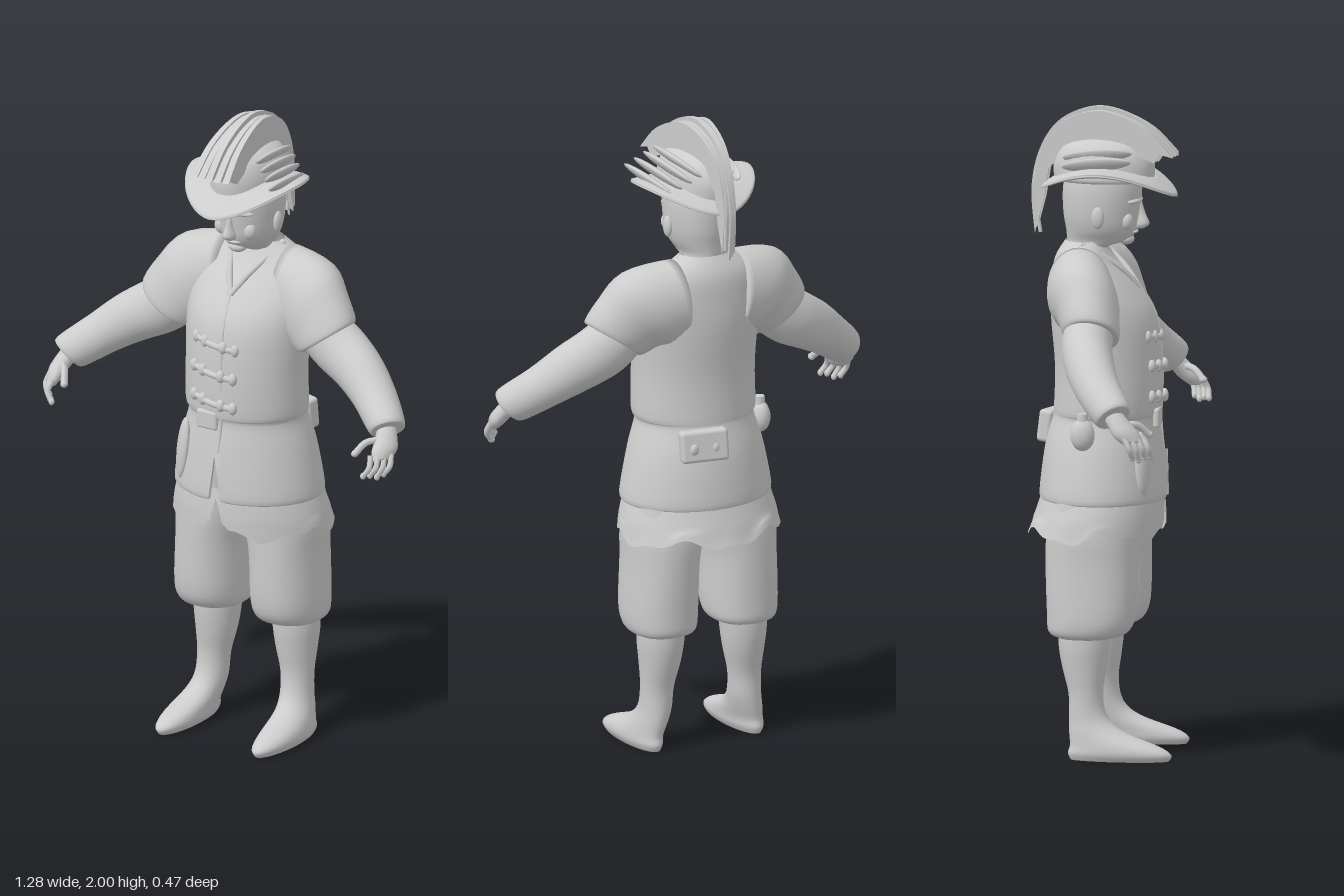
import * as THREE from 'three';
import { RoundedBoxGeometry } from 'three/addons/geometries/RoundedBoxGeometry.js';

const clay = new THREE.MeshStandardMaterial({ color: 0xcccccc, side: THREE.DoubleSide });
clay.name = 'light grey';

function add(parent, name, geometry, pos = [0, 0, 0], rot = [0, 0, 0]) {
  const mesh = new THREE.Mesh(geometry, clay);
  mesh.name = name;
  mesh.position.set(...pos);
  mesh.rotation.set(...rot);
  parent.add(mesh);
  return mesh;
}

// Catmull-Rom blend of neighbouring rings
function blend(rings, k, f) {
  const at = i => rings[Math.min(Math.max(i, 0), rings.length - 1)];
  const [a, b, c, d] = [at(k - 1), at(k), at(k + 1), at(k + 2)];
  return b.map((q, i) => q + 0.5 * f * (c[i] - a[i]
    + f * (2 * a[i] - 5 * q + 4 * c[i] - d[i] + f * (3 * (q - c[i]) + d[i] - a[i]))));
}

// Skin over rings [x, y, z, radiusU, radiusV, tilt, yaw], listed from low to high
function loft(rings, { n = 32, steps = 4, caps = true, power = 1, rule } = {}) {
  const full = rings.map(r => [...r, 0, 0].slice(0, 7));
  const list = [];
  for (let k = 0; k < full.length - 1; k++)
    for (let s = 0; s < steps; s++) list.push(blend(full, k, s / steps));
  list.push(full[full.length - 1]);
  const pos = [], idx = [];
  const pw = v => Math.sign(v) * Math.abs(v) ** power;
  for (const [x, y, z, ru, rv, t, w] of list)
    for (let j = 0; j < n; j++) {
      const a = j / n * Math.PI * 2, u = pw(Math.cos(a)) * ru, v = pw(Math.sin(a)) * rv;
      const p = new THREE.Vector3(
        x + u * Math.cos(t) * Math.cos(w) - v * Math.sin(w),
        y + u * Math.sin(t),
        z + u * Math.cos(t) * Math.sin(w) + v * Math.cos(w));
      if (rule) rule(p, a);
      pos.push(p.x, p.y, p.z);
    }
  for (let i = 0; i < list.length - 1; i++)
    for (let j = 0; j < n; j++) {
      const a = i * n + j, b = i * n + (j + 1) % n;
      idx.push(a, a + n, b, b, a + n, b + n);
    }
  if (caps) for (const i of [0, list.length - 1]) {
    const c = pos.length / 3;
    pos.push(...list[i].slice(0, 3));
    for (let j = 0; j < n; j++) {
      const a = i * n + j, b = i * n + (j + 1) % n;
      idx.push(...(i ? [c, b, a] : [c, a, b]));
    }
  }
  const g = new THREE.BufferGeometry();
  g.setAttribute('position', new THREE.Float32BufferAttribute(pos, 3));
  g.setIndex(idx);
  g.computeVertexNormals();
  return g;
}

function mirrored(g) {
  const m = g.clone().scale(-1, 1, 1), ix = m.index.array;
  for (let i = 0; i < ix.length; i += 3) [ix[i], ix[i + 1]] = [ix[i + 1], ix[i]];
  m.computeVertexNormals();
  return m;
}

function pair(parent, name, g) {
  add(parent, 'left ' + name, g);
  add(parent, 'right ' + name, mirrored(g));
}

const tube = (pts, r) => new THREE.TubeGeometry(
  new THREE.CatmullRomCurve3(pts.map(p => new THREE.Vector3(...p))), 16, r, 8);
const ball = (rx, ry, rz) => new THREE.SphereGeometry(1, 20, 14).scale(rx, ry, rz);

// Five overlapping crescent vanes that fan out toward the front of the hat
function crest(parent) {
  const outer = [[0.23, 1.85], [0.15, 1.935], [0.05, 1.987], [-0.04, 1.995], [-0.14, 1.95], [-0.2, 1.86], [-0.225, 1.74], [-0.215, 1.6]];
  const inner = [[-0.19, 1.7], [-0.175, 1.8], [-0.12, 1.86], [0, 1.88], [0.1, 1.86], [0.17, 1.83], [0.19, 1.86]];
  for (let i = -2; i <= 2; i++) {
    const k = 1 - 0.1 * Math.abs(Math.sin(i * 2));
    const v = ([z, y]) => new THREE.Vector2(z * (1 - 0.02 * Math.abs(i)), 1.86 + (y - 1.86) * k);
    const shape = new THREE.Shape().moveTo(v(outer[0]).x, v(outer[0]).y);
    shape.splineThru(outer.slice(1).map(v));
    inner.forEach(p => shape.lineTo(v(p).x, v(p).y));
    const g = new THREE.ExtrudeGeometry(shape, { depth: 1, bevelEnabled: false, curveSegments: 24 });
    g.rotateY(-Math.PI / 2);
    const p = g.attributes.position;
    for (let j = 0; j < p.count; j++) {
      const half = 0.02 + 0.05 * (p.getZ(j) + 0.23) / 0.46;
      p.setX(j, (i + (p.getX(j) + 0.5) * 0.8) / 2.4 * half);
    }
    g.computeVertexNormals();
    add(parent, 'crest feather', g);
  }
}

export function createModel() {
  const model = new THREE.Group();
  model.name = 'costumed man';

  // Jacket with a notch at the front of the hem
  add(model, 'jacket', loft([
    [0, 0.79, 0, 0.232, 0.188], [0, 0.81, 0, 0.243, 0.197], [0, 0.95, 0.002, 0.215, 0.182],
    [0, 1.04, 0.008, 0.188, 0.164], [0, 1.07, 0.013, 0.198, 0.166], [0, 1.2, 0.015, 0.197, 0.165],
    [0, 1.35, 0, 0.203, 0.162], [0, 1.45, -0.03, 0.2, 0.13], [0, 1.53, -0.06, 0.16, 0.09],
    [0, 1.585, -0.06, 0.08, 0.058]],
    { n: 72, caps: false, rule: p => { if (p.z > 0.1) p.y = Math.max(p.y, 0.94 - Math.abs(p.x) * 7); } }));

  // Ragged shirt tail below the jacket
  add(model, 'shirt tail', loft([[0, 0.69, -0.022, 0.262, 0.21], [0, 0.75, -0.01, 0.25, 0.198], [0, 0.83, 0, 0.225, 0.182]],
    { n: 72, caps: false, rule: (p, a) => {
      if (p.y < 0.72) p.y += 0.014 * Math.sin(a * 5) + 0.008 * Math.sin(a * 11);
      if (p.z > 0.1) p.y = Math.max(p.y, 0.8 - Math.abs(p.x) * 3.5);
    } }));

  // Lapels and front seam
  pair(model, 'lapel', tube([[0.085, 1.58, -0.06], [0.065, 1.545, 0.0], [0.035, 1.5, 0.058], [0, 1.44, 0.108]], 0.01));
  add(model, 'front seam', tube([[0, 1.44, 0.106], [0.01, 1.35, 0.16], [0.012, 1.2, 0.177], [0.01, 1.05, 0.173], [0.004, 0.94, 0.182]], 0.005));

  // Arms
  pair(model, 'sleeve', loft([
    [0.29, 1.327, 0.005, 0.092, 0.076, 0.63], [0.285, 1.335, 0.003, 0.11, 0.088, 0.63],
    [0.245, 1.378, -0.012, 0.125, 0.097, 0.8], [0.195, 1.42, -0.035, 0.142, 0.11, 1.1],
    [0.1, 1.45, -0.06, 0.124, 0.1, 1.5]]));
  pair(model, 'forearm', loft([
    [0.588, 1.127, 0.122, 0.045, 0.045, 0.8, 0.7], [0.58, 1.135, 0.115, 0.062, 0.058, 0.8, 0.7],
    [0.5, 1.195, 0.06, 0.07, 0.068, 0.85, 0.6], [0.42, 1.25, 0.022, 0.082, 0.075, 0.85, 0.35],
    [0.34, 1.295, 0, 0.092, 0.078, 0.75, 0.1], [0.27, 1.345, -0.005, 0.09, 0.075, 0.65, 0]]));

  // Hands
  pair(model, 'palm', loft([
    [0.608, 1.05, 0.185, 0.016, 0.03, 0.5, 0.6], [0.605, 1.075, 0.165, 0.024, 0.042, 0.6, 0.65],
    [0.595, 1.105, 0.14, 0.026, 0.036, 0.7, 0.7], [0.58, 1.135, 0.115, 0.028, 0.03, 0.8, 0.7]], { n: 16 }));
  for (let i = 0; i < 4; i++) {
    const x = 0.627 - i * 0.014, z = 0.165 + i * 0.017, tip = [x - 0.012, 1.0 + (i === 1 ? 0 : 0.008), z + 0.018];
    pair(model, 'finger', tube([[x, 1.07, z - 0.005], [x + 0.006, 1.035, z + 0.012], tip], 0.009));
    pair(model, 'fingertip', ball(0.009, 0.011, 0.009).translate(...tip));
  }
  pair(model, 'thumb', tube([[0.588, 1.105, 0.15], [0.555, 1.1, 0.19], [0.535, 1.07, 0.222]], 0.011));
  pair(model, 'thumb tip', ball(0.011, 0.011, 0.013).translate(0.535, 1.07, 0.222));

  // Breeches, shins and feet
  pair(model, 'breeches leg', loft([
    [0.14, 0.375, -0.035, 0.083, 0.085], [0.14, 0.392, -0.027, 0.104, 0.122], [0.14, 0.45, -0.017, 0.112, 0.137],
    [0.135, 0.6, -0.017, 0.111, 0.142], [0.125, 0.72, -0.015, 0.12, 0.14], [0.115, 0.9, 0, 0.1, 0.12]], { power: 0.9 }));
  pair(model, 'shin and foot', loft([
    [0.177, 0, 0.075, 0.044, 0.152], [0.177, 0.02, 0.075, 0.055, 0.16], [0.175, 0.045, 0.058, 0.056, 0.137],
    [0.166, 0.085, 0.002, 0.052, 0.085], [0.157, 0.13, -0.025, 0.05, 0.06], [0.153, 0.2, -0.033, 0.052, 0.053],
    [0.147, 0.28, -0.038, 0.064, 0.068], [0.145, 0.35, -0.04, 0.072, 0.078], [0.14, 0.44, -0.04, 0.075, 0.08]]));

  // Head
  const head = new THREE.Group();
  head.name = 'head';
  model.add(head);
  add(head, 'face and neck', loft([
    [0, 1.5, -0.06, 0.075, 0.06], [0, 1.56, -0.052, 0.066, 0.062], [0, 1.585, -0.02, 0.066, 0.095],
    [0, 1.62, -0.008, 0.085, 0.11], [0, 1.67, -0.008, 0.097, 0.118], [0, 1.75, -0.005, 0.1, 0.122],
    [0, 1.82, 0, 0.085, 0.11]]));
  add(head, 'nose', loft([[0, 1.622, 0.105, 0.015, 0.018], [0, 1.637, 0.11, 0.02, 0.03], [0, 1.67, 0.105, 0.011, 0.022], [0, 1.71, 0.1, 0.01, 0.015]], { n: 12 }));
  add(head, 'brow', ball(0.07, 0.012, 0.03), [0, 1.71, 0.088]);
  add(head, 'upper lip', ball(0.028, 0.006, 0.014), [0, 1.612, 0.092]);
  add(head, 'chin', ball(0.03, 0.018, 0.025), [0, 1.588, 0.068]);
  pair(head, 'cheek', ball(0.022, 0.028, 0.02).translate(0.052, 1.65, 0.078));
  pair(head, 'ear', ball(0.012, 0.034, 0.02).translate(0.1, 1.665, -0.005));

  // Hat
  const hat = new THREE.Group();
  hat.name = 'hat';
  model.add(hat);
  const bend = p => { p.y += 0.015 * (p.x / 0.19) ** 2 - 0.058 * (p.z / 0.21) ** 2; };
  add(hat, 'brim', loft([[0, 1.785, 0.01, 0.08, 0.1], [0, 1.788, 0.015, 0.185, 0.2], [0, 1.795, 0.015, 0.192, 0.21],
    [0, 1.802, 0.015, 0.185, 0.2], [0, 1.815, 0.01, 0.1, 0.14]], { n: 48, steps: 3, power: 1.15, rule: bend }));
  add(hat, 'crown', loft([[0, 1.77, 0, 0.105, 0.155], [0, 1.83, 0, 0.1, 0.155], [0, 1.88, 0, 0.078, 0.125], [0, 1.905, 0, 0.03, 0.06]]));
  crest(hat);
  for (let i = 0; i < 4; i++)
    add(hat, 'left side feather', ball(0.012, 0.03, 0.12), [0.075 + i * 0.025, 1.875 - i * 0.02, -0.02 + i * 0.015], [-0.15, 0.15, -0.75]);
  for (let i = 0; i < 2; i++)
    add(hat, 'right side feather', ball(0.01, 0.025, 0.11), [-0.08 - i * 0.022, 1.855 - i * 0.025, -0.01], [-0.1, -0.1, 0.6]);
  for (let i = -1; i <= 1; i++)
    add(hat, 'trailing plume', tube([[i * 0.012, 1.86, -0.19], [i * 0.014, 1.75, -0.215], [i * 0.016, 1.62 + i * 0.015, -0.205 - i * 0.01]], 0.006));

  // Toggles on the chest
  for (const [y, z] of [[1.29, 0.171], [1.2, 0.184], [1.105, 0.184]]) {
    const toggle = new THREE.Group();
    toggle.name = 'toggle';
    model.add(toggle);
    add(toggle, 'cord', tube([[-0.095, y + 0.01, z - 0.022], [-0.02, y, z], [0.055, y - 0.008, z - 0.007]], 0.01));
    for (const [x, d] of [[-0.095, 0.022], [-0.055, 0.008], [0.015, 0], [0.055, 0.007]])
      add(toggle, 'knot', ball(0.014, 0.02, 0.013), [x, y - x * 0.1, z - d]);
  }

  // Things hung at the waist
  add(model, 'buckle', new RoundedBoxGeometry(0.075, 0.06, 0.02, 2, 0.008), [-0.04, 1.045, 0.172]);
  add(model, 'knife sheath', ball(0.032, 0.1, 0.016), [-0.15, 0.92, 0.143], [-0.1, -0.6, -0.12]);
  add(model, 'hip flask', ball(0.03, 0.05, 0.038), [-0.208, 1.01, -0.035]);
  add(model, 'flask cap', new THREE.CylinderGeometry(0.016, 0.018, 0.03, 16), [-0.206, 1.06, -0.035]);
  add(model, 'back pouch', new RoundedBoxGeometry(0.15, 0.1, 0.045, 3, 0.012), [0.065, 1.0, -0.168], [0.12, -0.25, 0]);
  for (const x of [0.035, 0.105])
    add(model, 'pouch button', ball(0.014, 0.018, 0.01), [x, 0.995, -0.198 + x * 0.15]);

  return model;
}
